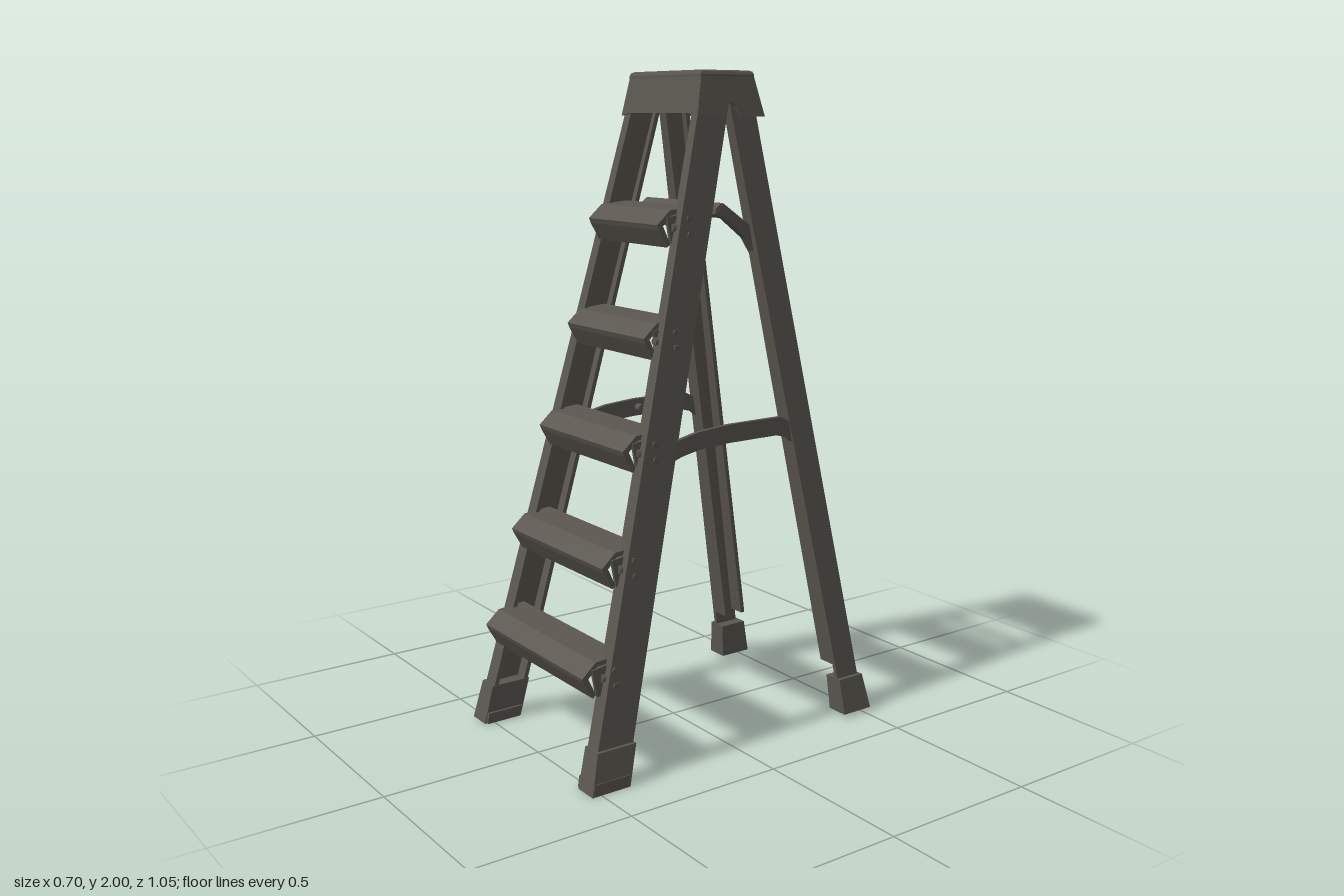
import * as THREE from 'three';

export function createModel() {
  const model = new THREE.Group();
  model.name = 'stepladder';
  const metal = new THREE.MeshStandardMaterial({ color: 0x5a564f });
  metal.name = 'dark warm grey';

  const add = (name, geo, parent = model) => {
    const m = new THREE.Mesh(geo, metal);
    m.name = name;
    parent.add(m);
    return m;
  };
  const group = (name) => {
    const g = new THREE.Group();
    g.name = name;
    model.add(g);
    return g;
  };

  // Tapered block between two level rectangles [xa, xb, za, zb]
  const taper = (y0, a, y1, b) => {
    const g = new THREE.BoxGeometry(1, 1, 1).toNonIndexed();
    const p = g.attributes.position;
    for (let i = 0; i < p.count; i++) {
      const top = p.getY(i) > 0, r = top ? b : a;
      const [x0, x1] = [Math.min(r[0], r[1]), Math.max(r[0], r[1])];
      const [z0, z1] = [Math.min(r[2], r[3]), Math.max(r[2], r[3])];
      p.setXYZ(i, p.getX(i) > 0 ? x1 : x0, top ? y1 : y0, p.getZ(i) > 0 ? z1 : z0);
    }
    g.computeVertexNormals();
    return g;
  };

  const shapeOf = (pts) => new THREE.Shape(pts.map(([a, b]) => new THREE.Vector2(a, b)));
  const flat = { bevelEnabled: false, curveSegments: 8 };
  // Side profile of [z, y] points, extruded across x
  const slab = (pts, x0, x1) => new THREE.ExtrudeGeometry(shapeOf(pts), { ...flat, depth: x1 - x0 })
    .rotateY(-Math.PI / 2).translate(x1, 0, 0);
  // Lean a wall outward as it goes down
  const lean = (geo, axis, amount) => {
    const p = geo.attributes.position;
    for (let i = 0; i < p.count; i++) {
      p.setComponent(i, axis, p.getComponent(i, axis) + (1.99 - p.getY(i)) * amount);
    }
    geo.computeVertexNormals();
    return geo;
  };

  // Channel rail: outer web with a front and a back flange turned inward
  const mix = THREE.MathUtils.lerp;
  const rail = (name, s, low, high, flangeStart) => {
    const g = group(name);
    const at = (y) => {
      const t = (y - low.y) / (high.y - low.y);
      return ['x', 'depth', 'za', 'zb'].map((k) => mix(low[k], high[k], t));
    };
    const part = (n, y0, f) => add(n, taper(y0, f(...at(y0)), high.y, f(...at(high.y))), g);
    part('web', low.y, (x, d, a, b) => [s * x, s * (x - 0.014), a, b]);
    part('frontFlange', flangeStart, (x, d, a, b) => [s * (x - 0.002), s * (x - d), a, a - 0.014]);
    part('backFlange', flangeStart, (x, d, a, b) => [s * (x - 0.002), s * (x - d), b, b + 0.014]);
  };

  const frontX = (y) => mix(0.335, 0.182, y / 1.9);

  for (const s of [1, -1]) {
    const side = s > 0 ? 'left' : 'right';
    rail(side + 'FrontRail', s,
      { y: 0.04, x: 0.332, depth: 0.055, za: 0.515, zb: 0.395 },
      { y: 1.93, x: 0.18, depth: 0.03, za: 0.035, zb: -0.07 }, 0.06);
    rail(side + 'RearRail', s,
      { y: 0.04, x: 0.328, depth: 0.072, za: -0.425, zb: -0.507 },
      { y: 1.93, x: 0.176, depth: 0.034, za: -0.066, zb: -0.155 }, 0.17);

    // Rubber feet with a flared sole
    add(side + 'FrontFoot', taper(0, [s * 0.275, s * 0.35, 0.53, 0.402],
      0.12, [s * 0.27, s * 0.336, 0.502, 0.372]));
    add(side + 'FrontSole', taper(0.002, [s * 0.265, s * 0.35, 0.525, 0.41],
      0.035, [s * 0.265, s * 0.349, 0.52, 0.4]));
    add(side + 'RearFoot', taper(0.012, [s * 0.28, s * 0.35, -0.415, -0.525],
      0.125, [s * 0.272, s * 0.334, -0.405, -0.5]));

    // Arched spreader bar and its pivot knob
    add(side + 'Spreader', slab([[0.21, 0.89], [0.15, 0.91], [0.09, 0.922], [-0.02, 0.928], [-0.2, 0.928],
      [-0.245, 0.915], [-0.275, 0.89], [-0.29, 0.935], [-0.25, 0.965], [-0.215, 0.983], [-0.02, 0.983],
      [0.09, 0.975], [0.16, 0.96], [0.215, 0.935]], s * 0.245 - 0.007, s * 0.245 + 0.007));
    add(side + 'SpreaderKnob', new THREE.CylinderGeometry(0.013, 0.013, 0.03, 8)
      .rotateZ(Math.PI / 2).translate(s * 0.228, 0.955, -0.03));

    // Arm of the rear tray bail
    add(side + 'BailArm', slab([[-0.02, 1.6], [-0.04, 1.623], [-0.14, 1.555], [-0.175, 1.5],
      [-0.165, 1.46], [-0.125, 1.52]], s * 0.178 - 0.014, s * 0.178 + 0.014));
  }

  // Crossbar of the rear tray bail
  add('bailBar', slab([[-0.012, 1.592], [-0.015, 1.61], [-0.035, 1.625], [-0.062, 1.608], [-0.045, 1.58]],
    -0.19, 0.19));

  // Treads: folded sheet with a front lip, rising slightly to the back
  const treads = [[0.515, 0.325], [0.43, 0.625], [0.34, 0.945], [0.25, 1.255], [0.185, 1.57]];
  treads.forEach(([z, y], i) => {
    const g = group('step' + (i + 1));
    const w = frontX(y) - 0.03;
    add('tread', slab([[z, y], [z - 0.045, y + 0.04], [z - 0.135, y + 0.048], [z - 0.14, y - 0.005],
      [z - 0.128, y - 0.005], [z - 0.124, y + 0.034], [z - 0.05, y + 0.026], [z - 0.02, y - 0.004],
      [z - 0.045, y - 0.055], [z - 0.035, y - 0.065], [z - 0.006, y - 0.015]], -w, w), g);
    for (const s of [1, -1]) {
      // End bracket and bolts
      add('bracket', slab([[z - 0.03, y + 0.02], [z - 0.13, y + 0.035], [z - 0.1, y - 0.07],
        [z - 0.045, y - 0.06]], s * w - 0.005, s * w + 0.005), g);
      for (const dy of [-0.03, 0.015]) {
        add('bolt', new THREE.CylinderGeometry(0.01, 0.01, 0.012, 6).rotateZ(Math.PI / 2)
          .translate(s * (frontX(y + dy) - 0.001), y + dy, z - 0.09), g);
      }
      add('flangeBolt', new THREE.CylinderGeometry(0.012, 0.012, 0.02, 6).rotateX(Math.PI / 2)
        .translate(s * (w + 0.005), y - 0.01, mix(0.525, 0.035, (y - 0.01) / 1.93)), g);
    }
  });

  // Top cap: bevelled plate with a shallow round recess
  const cap = group('topCap');
  const plate = shapeOf([[-0.168, -0.022], [0.168, -0.022], [0.168, 0.145], [-0.168, 0.145]]);
  plate.holes.push(new THREE.Path().absarc(0, 0.068, 0.056, 0, Math.PI * 2, true));
  add('plate', new THREE.ExtrudeGeometry(plate, {
    depth: 0.01, bevelThickness: 0.012, bevelSize: 0.012, bevelSegments: 2, curveSegments: 8,
  }).rotateX(-Math.PI / 2).scale(1, 1, 1).translate(0, 1.978, 0), cap)
    .position.z = 0;
  add('recessFloor', new THREE.CylinderGeometry(0.06, 0.06, 0.008, 8).rotateX(0.12)
    .translate(0, 1.978, -0.068), cap);

  // Cap skirts: arched front, notched back and sides
  add('frontSkirt', lean(new THREE.ExtrudeGeometry(shapeOf([[-0.19, 1.872], [-0.15, 1.88], [0.15, 1.88],
    [0.19, 1.872], [0.178, 1.988], [-0.178, 1.988]]), { ...flat, depth: 0.012 })
    .translate(0, 0, 0.02), 2, 0.2), cap);
  add('backSkirt', lean(new THREE.ExtrudeGeometry(shapeOf([[-0.19, 1.87], [-0.115, 1.87], [-0.1, 1.91],
    [0.1, 1.91], [0.115, 1.87], [0.19, 1.87], [0.178, 1.988], [-0.178, 1.988]]), { ...flat, depth: 0.012 })
    .translate(0, 0, -0.156), 2, -0.28), cap);
  for (const s of [1, -1]) {
    add('sideSkirt', lean(slab([[0.055, 1.872], [-0.04, 1.872], [-0.052, 1.9], [-0.068, 1.912], [-0.085, 1.9],
      [-0.1, 1.87], [-0.188, 1.87], [-0.155, 1.988], [0.032, 1.988]],
    s * 0.173 - 0.006, s * 0.173 + 0.006), 0, s * 0.12), cap);
  }

  return model;
}
